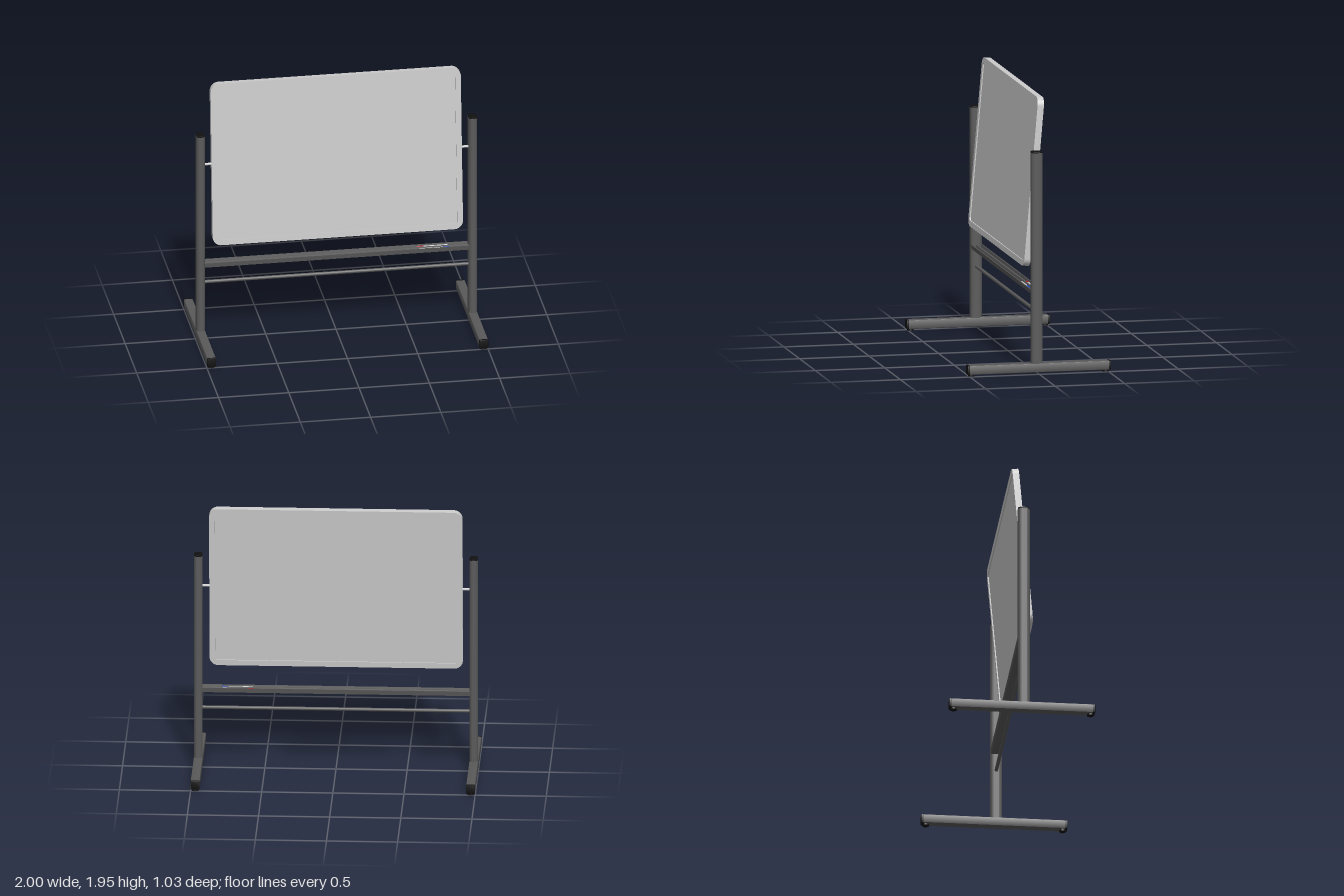
import * as THREE from 'three';
import { toCreasedNormals } from 'three/addons/utils/BufferGeometryUtils.js';

const paint = (color) => new THREE.MeshStandardMaterial({ color });
const grey = paint(0xcccccc), dark = paint(0x5a5a5a), black = paint(0x111111);
const blue = paint(0x1a4fd0), red = paint(0xc01c2c);

const POST_X = 0.968, POST_Z = 0.013;

function add(parent, name, geometry, material, x = 0, y = 0, z = 0) {
  const mesh = new THREE.Mesh(geometry, material);
  mesh.name = name;
  mesh.position.set(x, y, z);
  parent.add(mesh);
  return mesh;
}

// Rounded rectangle centred on the origin
function roundedRect(w, h, r, Type = THREE.Shape) {
  const s = new Type(), x = w / 2 - r, y = h / 2 - r;
  s.absarc(x, y, r, 0, Math.PI / 2);
  s.absarc(-x, y, r, Math.PI / 2, Math.PI);
  s.absarc(-x, -y, r, Math.PI, Math.PI * 1.5);
  s.absarc(x, -y, r, Math.PI * 1.5, Math.PI * 2);
  s.closePath();
  return s;
}

function extrude(shape, depth, bevel = 0) {
  const g = new THREE.ExtrudeGeometry(shape, {
    depth: depth - bevel * 2, curveSegments: 8, bevelEnabled: bevel > 0,
    bevelSize: bevel, bevelThickness: bevel, bevelOffset: -bevel, bevelSegments: 2,
  });
  g.translate(0, 0, bevel - depth / 2);
  return toCreasedNormals(g, 0.6);
}

// Round bar lying along x
const bar = (r, length) => new THREE.CylinderGeometry(r, r, length, 20).rotateZ(Math.PI / 2);

// T-shaped stand: post, base leg, end caps and feet
function createStand(side) {
  const stand = new THREE.Group();
  stand.name = side > 0 ? 'leftStand' : 'rightStand';
  stand.position.x = side * POST_X;

  const section = roundedRect(0.06, 0.084, 0.026);
  add(stand, 'post', extrude(section, 1.5).rotateX(-Math.PI / 2), dark, 0, 0.825, POST_Z);
  add(stand, 'postCap', extrude(section, 0.012, 0.004).rotateX(-Math.PI / 2), black, 0, 1.58, POST_Z);

  add(stand, 'baseLeg', extrude(roundedRect(0.062, 0.064, 0.006), 1.0), dark, 0, 0.046, 0);
  for (const end of [1, -1]) {
    add(stand, 'legEndCap', extrude(roundedRect(0.064, 0.066, 0.007), 0.017, 0.005), black, 0, 0.046, end * 0.5065);
    add(stand, 'foot', new THREE.CylinderGeometry(0.022, 0.024, 0.016, 20), black, 0, 0.008, end * 0.483);
  }

  // Pivot pin reaching in to the board
  add(stand, 'pivotPin', bar(0.009, 0.09), grey, -side * 0.06, 1.35, POST_Z);
  return stand;
}

// Tilting board: rounded frame around a recessed two-sided panel
function createBoard() {
  const board = new THREE.Group();
  board.name = 'board';
  board.position.set(0, 1.348, POST_Z);
  board.rotation.x = -0.087;

  const outer = roundedRect(1.78, 1.204, 0.062);
  outer.holes.push(roundedRect(1.70, 1.124, 0.018, THREE.Path));
  add(board, 'frame', extrude(outer, 0.046), grey);
  add(board, 'panel', new THREE.BoxGeometry(1.705, 1.129, 0.03), grey);
  return board;
}

// Marker lying along x, its cap at the +x or -x end
function createMarker(name, capMaterial, x, z, direction) {
  const marker = new THREE.Group();
  marker.name = name;
  marker.position.set(x, 0.588, z);
  add(marker, 'markerBody', bar(0.0075, 0.19), grey);
  add(marker, 'markerCap', bar(0.0085, 0.045), capMaterial, direction * 0.1);
  return marker;
}

export function createModel() {
  const model = new THREE.Group();
  model.name = 'pivotingBoardStand';
  model.add(createStand(1), createStand(-1), createBoard());

  // Pen tray with a groove on each side of a centre ridge
  const half = [[0.004, 0.597], [0.008, 0.58], [0.03, 0.58], [0.034, 0.6], [0.041, 0.6], [0.036, 0.567]];
  const outline = [...half, ...half.map(([z, y]) => [-z, y]).reverse()];
  const tray = new THREE.Shape(outline.map(([z, y]) => new THREE.Vector2(z, y)));
  add(model, 'penTray', extrude(tray, 1.89).rotateY(Math.PI / 2), dark, 0, 0, POST_Z);

  add(model, 'crossBar', bar(0.0125, 1.89), dark, 0, 0.443, POST_Z);

  model.add(createMarker('blueMarker', blue, 0.68, POST_Z + 0.019, 1));
  model.add(createMarker('redMarker', red, 0.7, POST_Z - 0.019, -1));
  return model;
}
